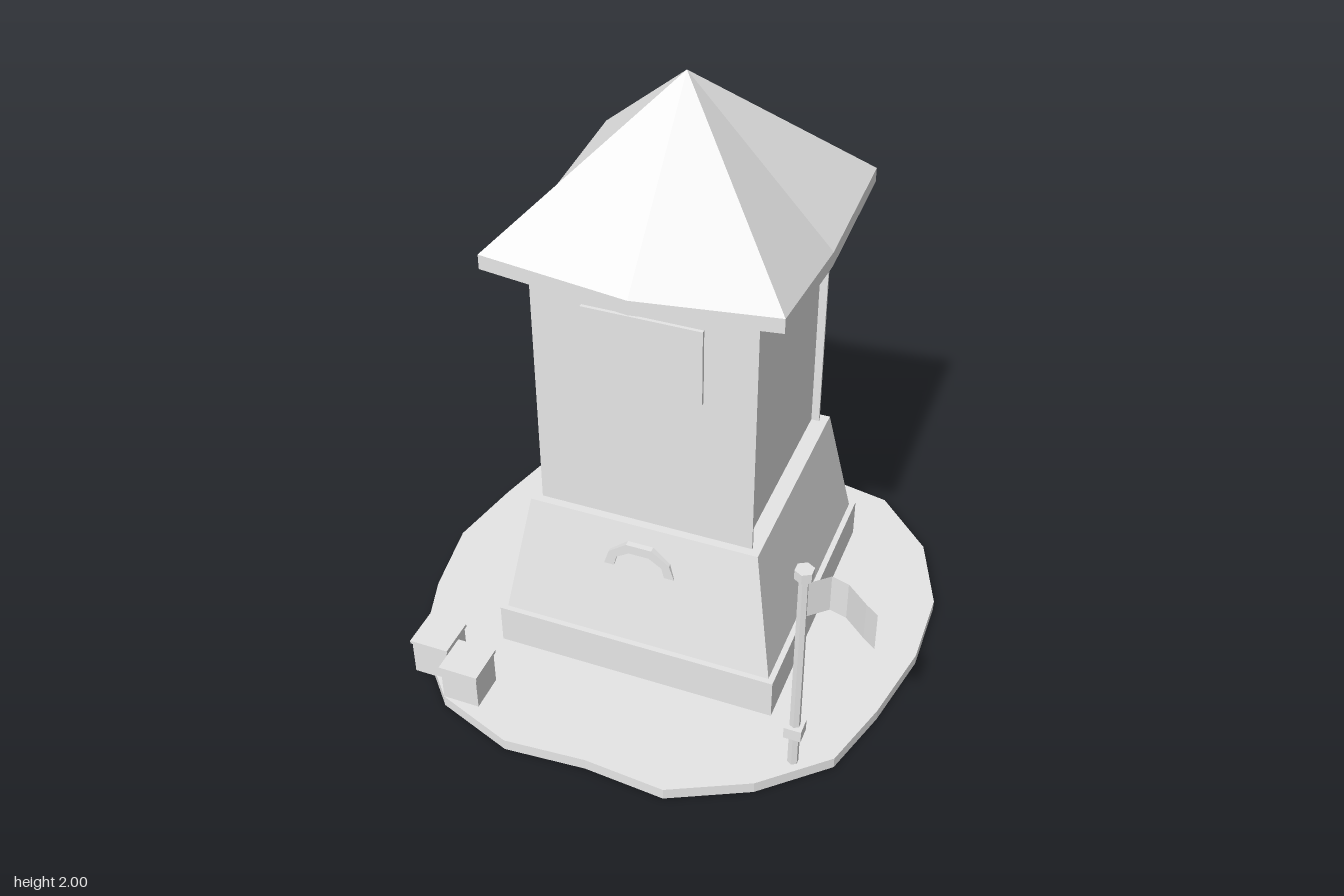
import * as THREE from 'three';

const CX = 0.006, CZ = -0.045; // tower axis

export function createModel() {
  const model = new THREE.Group();
  const stone = new THREE.MeshStandardMaterial({ color: 0xe6e6e6 });
  stone.name = 'light grey';
  const thin = stone.clone();
  thin.name = 'light grey two-sided';
  thin.side = THREE.DoubleSide;

  function add(name, geometry, x = 0, y = 0, z = 0, parent = model, material = stone) {
    const mesh = new THREE.Mesh(geometry, material);
    mesh.name = name;
    mesh.position.set(x, y, z);
    parent.add(mesh);
    return mesh;
  }
  const box = (w, h, d) => new THREE.BoxGeometry(w, h, d);
  function faceted(geometry) {
    const g = geometry.index ? geometry.toNonIndexed() : geometry;
    g.computeVertexNormals();
    return g;
  }

  // Irregular ground slab, hollow underneath; outline as [x, z]
  const outline = [
    [0, -0.838], [0.27, -0.8], [0.545, -0.745], [0.745, -0.54], [0.848, -0.275],
    [0.853, 0], [0.797, 0.285], [0.724, 0.525], [0.522, 0.708], [0.27, 0.833],
    [0, 0.813], [-0.27, 0.833], [-0.535, 0.737], [-0.725, 0.53], [-0.81, 0.27],
    [-0.855, 0], [-0.805, -0.27], [-0.74, -0.54], [-0.52, -0.718], [-0.265, -0.817],
  ];
  const slabTop = new THREE.ShapeGeometry(
    new THREE.Shape(outline.map(([x, z]) => new THREE.Vector2(x, -z))));
  slabTop.rotateX(-Math.PI / 2);
  add('groundTop', slabTop, 0, 0.04, 0, model, thin);
  const rimPoints = [];
  outline.forEach(([x, z], i) => {
    const [nx, nz] = outline[(i + 1) % outline.length];
    const a = new THREE.Vector3(x, 0.04, z), b = new THREE.Vector3(nx, 0.04, nz);
    const c = new THREE.Vector3(x, 0, z), d = new THREE.Vector3(nx, 0, nz);
    rimPoints.push(a, b, d, a, d, c);
  });
  const groundRim = new THREE.BufferGeometry().setFromPoints(rimPoints);
  add('groundRim', faceted(groundRim), 0, 0, 0, model, thin);

  // Tower: foot and sloping skirt
  const tower = new THREE.Group();
  tower.name = 'tower';
  tower.position.set(CX, 0, CZ);
  model.add(tower);
  add('foot', box(0.956, 0.143, 0.956), 0, 0.1145, 0, tower);
  const skirt = new THREE.CylinderGeometry(0.384 * Math.SQRT2, 0.459 * Math.SQRT2, 0.43, 4);
  skirt.rotateY(Math.PI / 4);
  add('skirt', faceted(skirt), 0, 0.4, 0, tower);

  // Shaft: side walls set back between thin front and back walls
  add('shaft', box(0.658, 0.9, 0.7), 0, 1.055, 0, tower);
  for (const s of [-1, 1]) {
    add(s > 0 ? 'frontWall' : 'backWall', box(0.712, 0.9, 0.009), 0, 1.055, s * 0.351, tower);
  }

  // Roof: eight slopes with eaves that dip at the middle of each side
  const R = 0.459;
  const rim = (lower) => Array.from({ length: 8 }, (_, i) => {
    const a = (i * Math.PI) / 4;
    const corner = i % 2 === 1;
    const r = corner ? R * Math.SQRT2 : R;
    return new THREE.Vector3(Math.sin(a) * r, (corner ? 1.552 : 1.503) - lower, Math.cos(a) * r);
  });
  const top = rim(0), bottom = rim(0.048);
  const apex = new THREE.Vector3(0, 2, 0), under = new THREE.Vector3(0, 1.45, 0);
  const points = [];
  for (let i = 0; i < 8; i++) {
    const j = (i + 1) % 8;
    points.push(apex, top[i], top[j]);
    points.push(top[i], bottom[i], bottom[j], top[i], bottom[j], top[j]);
    points.push(under, bottom[j], bottom[i]);
  }
  add('roof', faceted(new THREE.BufferGeometry().setFromPoints(points)), 0, 0, 0, tower);

  // Front board and arched hood
  add('frontBoard', box(0.382, 0.255, 0.02), 0, 1.258, 0.357, tower);
  const arch = [
    [-0.12, 0.455], [-0.103, 0.508], [-0.043, 0.553], [0.043, 0.553], [0.103, 0.508], [0.12, 0.455],
    [0.086, 0.455], [0.077, 0.492], [0.034, 0.52], [-0.034, 0.52], [-0.077, 0.492], [-0.086, 0.455],
  ];
  const hoodShape = new THREE.Shape(arch.map(([x, y]) => new THREE.Vector2(x, y)));
  const hood = new THREE.ExtrudeGeometry(hoodShape, { depth: 0.045, bevelEnabled: false });
  add('archedHood', hood, 0, 0, 0.37, tower);

  // Two lidded crates
  for (const [x, z] of [[-0.617, 0.601], [-0.473, 0.673]]) {
    const crate = new THREE.Group();
    crate.name = 'crate';
    crate.position.set(x, 0.036, z);
    model.add(crate);
    add('crateBody', box(0.125, 0.127, 0.125), 0, 0.0635, 0, crate);
    add('crateLid', box(0.135, 0.012, 0.135), 0, 0.133, 0, crate);
  }

  // Flagpole with collar, cap and waving flag
  const pole = new THREE.Group();
  pole.name = 'flagpole';
  pole.position.set(0.605, 0, 0.579);
  model.add(pole);
  add('pole', faceted(new THREE.CylinderGeometry(0.016, 0.018, 0.78, 6)), 0, 0.43, 0, pole);
  add('poleCollar', box(0.056, 0.042, 0.056), 0, 0.185, 0, pole);
  add('poleCap', faceted(new THREE.CylinderGeometry(0.03, 0.03, 0.033, 6)), 0, 0.827, 0, pole);

  const wave = [[0.014, 0], [0.068, -0.05], [0.122, -0.035], [0.19, 0.025], [0.231, 0.056]];
  const flag = new THREE.PlaneGeometry(1, 0.13, wave.length - 1, 1);
  const p = flag.attributes.position;
  for (let i = 0; i < p.count; i++) {
    const [x, z] = wave[i % wave.length];
    p.setX(i, x);
    p.setZ(i, z);
  }
  add('flag', faceted(flag), 0, 0.73, 0, pole, thin);

  return model;
}
